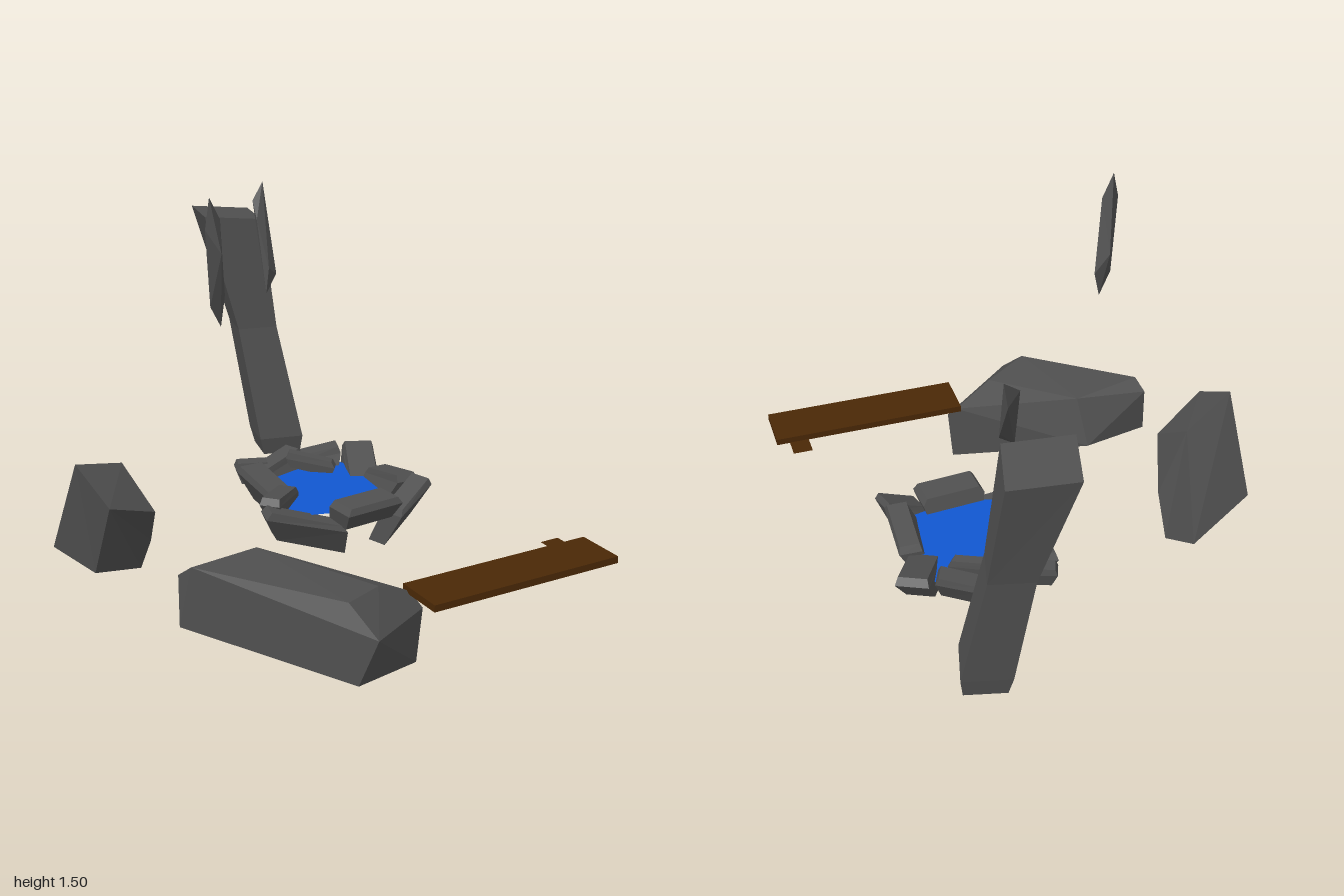
import * as THREE from 'three';
import { ConvexGeometry } from 'three/addons/geometries/ConvexGeometry.js';

const stone = new THREE.MeshStandardMaterial({ color: 0x505050, flatShading: true });
const openStone = new THREE.MeshStandardMaterial({ color: 0x505050, flatShading: true, side: THREE.DoubleSide });
const wood = new THREE.MeshStandardMaterial({ color: 0x4a2806, side: THREE.DoubleSide });
const water = new THREE.MeshStandardMaterial({ color: 0x1157d0, side: THREE.DoubleSide });

function add(parent, name, geometry, material) {
  const mesh = new THREE.Mesh(geometry, material);
  mesh.name = name;
  parent.add(mesh);
  return mesh;
}

// Unit box cut into rows; rule(row, vertex) moves each vertex, row 0 on top
function rowBox(rows, rule) {
  const geometry = new THREE.BoxGeometry(1, 1, 1, 1, rows, 1);
  const pos = geometry.attributes.position;
  const v = new THREE.Vector3();
  for (let i = 0; i < pos.count; i++) {
    v.fromBufferAttribute(pos, i);
    rule(Math.round((0.5 - v.y) * rows), v);
    pos.setXYZ(i, v.x, v.y, v.z);
  }
  geometry.computeVertexNormals();
  return geometry;
}

// Flat polygons, each split into a fan of triangles
function facets(polygons) {
  const points = [];
  for (const p of polygons) {
    for (let i = 1; i < p.length - 1; i++) points.push(p[0], p[i], p[i + 1]);
  }
  const geometry = new THREE.BufferGeometry().setFromPoints(points);
  geometry.computeVertexNormals();
  return geometry;
}

const point = (x, y, z) => new THREE.Vector3(x, y, z);

export function createModel() {
  const model = new THREE.Group();

  // Leaning pillar: turned square rings with a narrow waist and a sloping top
  const rings = [
    { at: point(0.25, 1.165, -0.863), size: 0.228, slope: 0.1 },
    { at: point(0.324, 0.72, -0.786), size: 0.155, slope: 0 },
    { at: point(0.389, 0.27, -0.712), size: 0.175, slope: 0 },
    { at: point(0.395, 0.2, -0.712), size: 0.15, slope: 0 },
  ];
  const up = point(0, 1, 0);
  add(model, 'pillar', rowBox(3, (row, v) => {
    const { at, size, slope } = rings[row];
    v.setY(0).multiplyScalar(size).applyAxisAngle(up, -0.24);
    v.y = -v.x * slope;
    v.add(at);
  }), stone);

  // Long boulder at the front: a far end and a near end
  add(model, 'frontBoulder', new ConvexGeometry([
    point(-0.635, 0.18, 0.49), point(-0.632, 0.36, 0.48), point(-0.61, 0.402, 0.53),
    point(-0.345, 0.39, 0.475), point(-0.37, 0.2, 0.41),
    point(-0.24, 0.08, 0.945), point(-0.2, 0.25, 0.995), point(-0.25, 0.35, 0.895),
    point(-0.08, 0.326, 0.8), point(0.075, 0.25, 0.75), point(0.1, 0.2, 0.79), point(0.087, 0, 0.78),
  ]), stone);

  // Side boulder: a shell, open below
  const ridgeL = point(-0.79, 0.613, 0.037), ridgeR = point(-0.58, 0.545, -0.06);
  const backL = point(-0.813, 0.25, -0.137), backR = point(-0.534, 0.2, -0.286);
  const browL = point(-0.747, 0.51, 0.213), browR = point(-0.54, 0.42, 0.117);
  const footL = point(-0.73, 0.2, 0.03), footR = point(-0.495, 0.105, -0.115);
  const knee = point(-0.497, 0.25, -0.02);
  add(model, 'sideBoulder', facets([
    [ridgeL, ridgeR, backR, backL],
    [browL, browR, ridgeR, ridgeL],
    [browL, footL, footR, knee, browR],
    [ridgeR, browR, knee, footR, backR],
    [ridgeL, backL, footL, browL],
  ]), openStone);

  // Floating shards: corners mirrored through the centre
  const shard = (name, centre, corners) => {
    const points = corners.flatMap((c) => [centre.clone().add(c), centre.clone().sub(c)]);
    add(model, name, new ConvexGeometry(points), stone);
  };
  shard('leftShard', point(-0.335, 1.275, 0.183), [
    point(-0.03, 0.225, 0.022), point(-0.055, 0.125, 0.04),
    point(0.018, 0.145, 0.003), point(-0.007, 0.045, 0.06),
  ]);
  shard('rightShard', point(0.252, 1.131, -0.556), [
    point(0.048, 0.191, -0.102), point(-0.015, 0.13, -0.066),
    point(0.034, 0.095, -0.097), point(-0.03, 0.07, -0.004),
  ]);

  // Plank with a thin tab at its far end
  const plank = new THREE.Group();
  plank.name = 'plank';
  model.add(plank);
  add(plank, 'board', new THREE.BoxGeometry(0.75, 0.025, 0.183), wood).position.set(0.435, 0.26, 0.822);
  const tab = add(plank, 'tab', new THREE.PlaneGeometry(0.075, 0.078), wood);
  tab.rotation.x = -Math.PI / 2;
  tab.position.set(0.722, 0.249, 0.692);

  // Pool surface
  const pool = new THREE.Group();
  pool.name = 'pool';
  model.add(pool);
  const outline = [[0.05, -0.31], [0.42, -0.32], [0.5, -0.15], [0.47, 0.1], [0.25, 0.15], [-0.03, 0.07], [0.05, -0.08]];
  const surface = new THREE.Shape(outline.map(([x, z]) => new THREE.Vector2(x, -z)));
  const sheet = add(pool, 'water', new THREE.ShapeGeometry(surface), water);
  sheet.rotation.x = -Math.PI / 2;
  sheet.position.y = 0.27;

  // Rim stones: x, z, length, width, turn, top, depth, rise along the length,
  // and the inward draw of the underside towards the middle of the pool
  const rim = [
    [0.085, -0.355, 0.13, 0.06, -0.35, 0.32, 0.08, 0, 0.05],
    [0.185, -0.335, 0.2, 0.075, 0.33, 0.325, 0.1, 0.03, 0.15],
    [0.37, -0.335, 0.16, 0.08, -0.4, 0.325, 0.1, 0.03, 0.1],
    [0.295, -0.27, 0.19, 0.045, -0.65, 0.33, 0.06, -0.03, 0],
    [0.475, -0.19, 0.29, 0.12, 1.13, 0.295, 0.1, 0.08, 0.12],
    [0.485, 0, 0.23, 0.085, 1.55, 0.33, 0.15, -0.04, 0.28],
    [0.45, 0.165, 0.17, 0.09, 0.3, 0.31, 0.15, 0.08, 0.2],
    [0.265, 0.178, 0.24, 0.12, 0.08, 0.325, 0.09, 0, 0.12],
    [0.045, 0.115, 0.3, 0.085, -0.25, 0.28, 0.13, -0.08, 0.2],
    [0.02, -0.025, 0.23, 0.075, 0.75, 0.325, 0.08, -0.03, 0.08],
    [0.055, -0.2, 0.26, 0.105, 1.55, 0.315, 0.13, 0.02, 0.22],
  ];
  const middle = point(0.24, 0, -0.08);
  rim.forEach(([x, z, length, width, turn, top, depth, rise, draw], n) => {
    const centre = point(x, 0, z);
    const inward = middle.clone().sub(centre).multiplyScalar(draw);
    const shrink = [0.86, 1, 0.85];
    const heights = [top, top - 0.025, top - depth];
    add(pool, `rimStone${n + 1}`, rowBox(2, (row, v) => {
      const y = heights[row] + v.x * rise;
      v.set(v.x * length, 0, v.z * width).multiplyScalar(shrink[row]);
      v.applyAxisAngle(up, turn).add(centre);
      if (row === 2) v.add(inward);
      v.y = y;
    }), stone);
  });

  return model;
}
